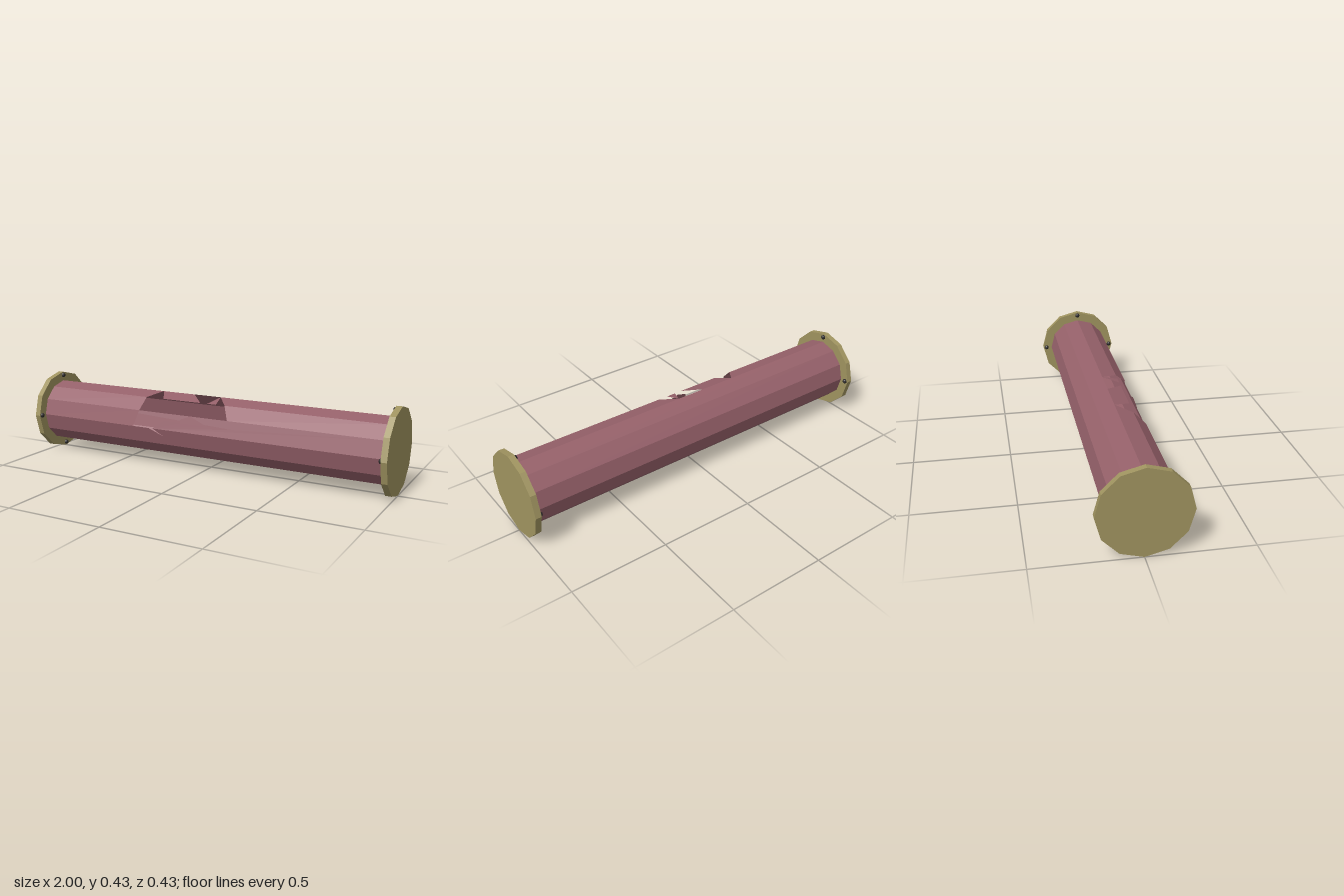
import * as THREE from 'three';

const CY = 0.217, TUBE_R = 0.167, CAP_R = 0.217, END = 0.97;

// One flat panel of the 12-sided tube. Outlines are (x, t): t counts facets up from the front's middle.
function panel(k, outlines) {
  const shapes = outlines.map(o => new THREE.Shape(o.map(([x, t]) => new THREE.Vector2(x, t))));
  const geo = new THREE.ShapeGeometry(shapes);
  const a0 = k * Math.PI / 6, a1 = (k + 1) * Math.PI / 6;
  const p = geo.attributes.position;
  for (let i = 0; i < p.count; i++) {
    const f = p.getY(i) - k;
    p.setXYZ(i, p.getX(i),
      CY + TUBE_R * THREE.MathUtils.lerp(Math.sin(a0), Math.sin(a1), f),
      TUBE_R * THREE.MathUtils.lerp(Math.cos(a0), Math.cos(a1), f));
  }
  geo.computeVertexNormals();
  return geo;
}

// Panels broken open by the jagged hole
const broken = {
  '-1': [[[-END, -1], [END, -1], [END, 0], [-0.26, 0], [-0.2, -0.45], [-0.285, 0], [-END, 0]]],
  0: [
    [[-END, 0], [-0.38, 0], [-0.355, 1], [-END, 1]],
    [[-0.26, 0], [END, 0], [END, 1], [0.21, 1], [0.21, 0.53], [0.055, 0.53],
      [-0.045, 1], [-0.1, 0.75], [-0.1, 0.53], [-0.195, 0.53]],
  ],
  1: [
    [[-END, 1], [-0.355, 1], [-0.345, 2], [-END, 2]],
    [[0.165, 1], [END, 1], [END, 2], [0.12, 2]],
  ],
  2: [
    [[-END, 2], [-0.345, 2], [-0.29, 3], [-END, 3]],
    [[-0.24, 2], [-0.02, 2], [-0.1, 3], [-0.29, 3]],
    [[0.02, 2], [0.07, 2], [0.055, 3]],
    [[0.12, 2], [END, 2], [END, 3], [0.055, 3]],
  ],
};

export function createModel() {
  const model = new THREE.Group();
  const tubeMat = new THREE.MeshStandardMaterial({ color: 0x96616a, flatShading: true, side: THREE.DoubleSide });
  const capMat = new THREE.MeshStandardMaterial({ color: 0xa09460, flatShading: true });
  const boltMat = new THREE.MeshStandardMaterial({ color: 0x2c2a2a, flatShading: true });

  // Hollow tube, thin-walled
  const tube = new THREE.Group();
  tube.name = 'tube';
  for (let k = -1; k < 11; k++) {
    const whole = [[[-END, k], [END, k], [END, k + 1], [-END, k + 1]]];
    const mesh = new THREE.Mesh(panel(k, broken[k] || whole), tubeMat);
    mesh.name = 'tubePanel';
    tube.add(mesh);
  }
  model.add(tube);

  // End caps with four bolts on each inner rim
  const capGeo = new THREE.CylinderGeometry(CAP_R, CAP_R, 1 - END, 12).rotateZ(Math.PI / 2);
  const boltGeo = new THREE.SphereGeometry(0.013, 8, 6);
  for (const [side, name] of [[1, 'left'], [-1, 'right']]) {
    const cap = new THREE.Mesh(capGeo, capMat);
    cap.name = name + 'EndCap';
    cap.position.set(side * (1 + END) / 2, CY, 0);
    model.add(cap);
    for (let i = 0; i < 4; i++) {
      const a = i * Math.PI / 2;
      const bolt = new THREE.Mesh(boltGeo, boltMat);
      bolt.name = name + 'Bolt';
      bolt.position.set(side * (END - 0.001), CY + 0.198 * Math.sin(a), 0.198 * Math.cos(a));
      model.add(bolt);
    }
  }
  return model;
}
